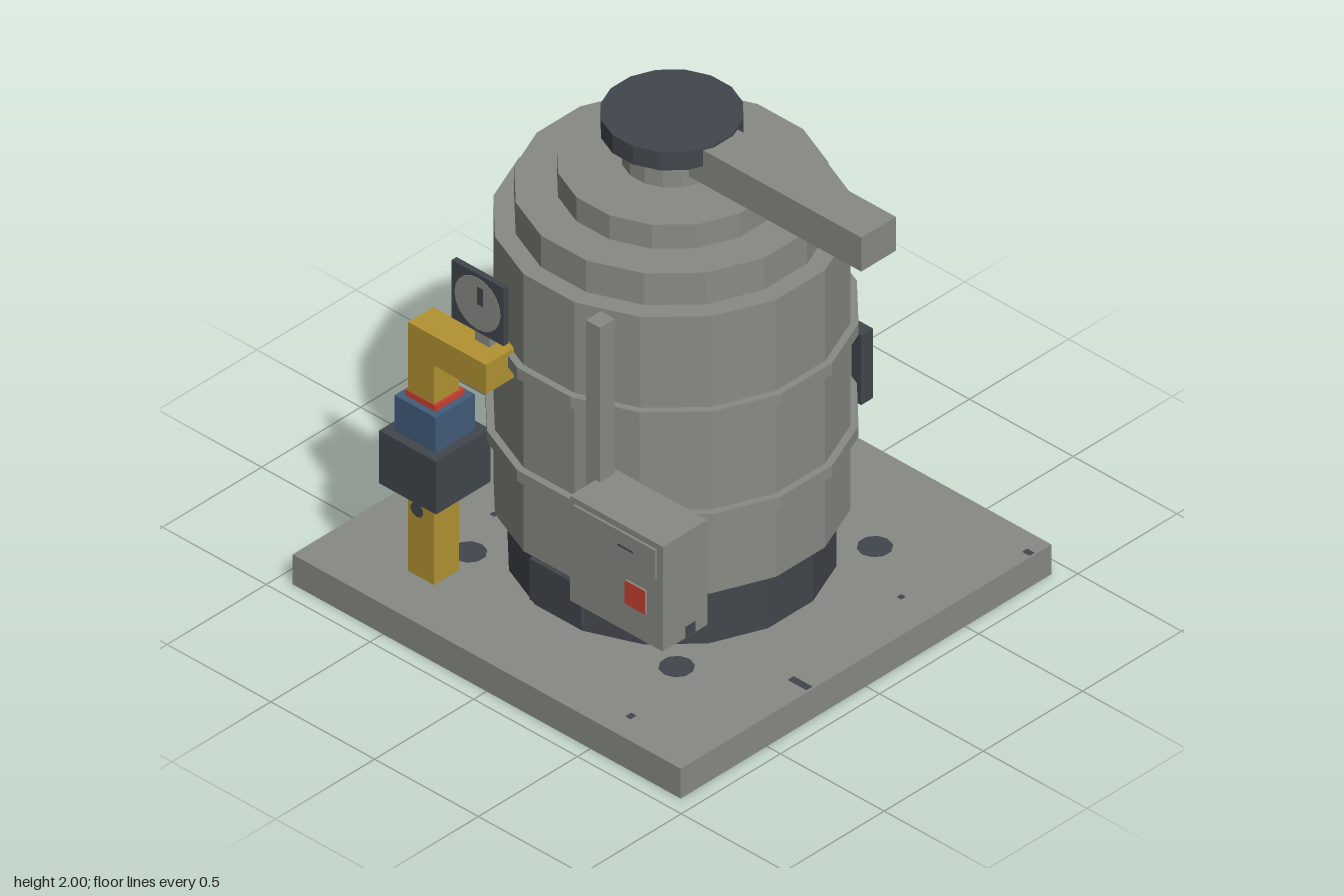
import * as THREE from 'three';

function material(name, color) {
  const m = new THREE.MeshStandardMaterial({ color });
  m.name = name;
  return m;
}

export function createModel() {
  const gray = material('paintedGray', 0x888b84);
  gray.side = THREE.DoubleSide; // the base plate is an open shell
  const dark = material('darkSteel', 0x41474d);
  const yellow = material('pipeYellow', 0xb39332);
  const blue = material('valveBlue', 0x435d7b);
  const red = material('signalRed', 0xc94133);

  const model = new THREE.Group();
  model.name = 'pressureVessel';

  const add = (name, geometry, mat, parent = model) => {
    const mesh = new THREE.Mesh(geometry, mat);
    mesh.name = name;
    parent.add(mesh);
    return mesh;
  };
  // box given by its limits on each axis
  const box = (name, mat, [x0, x1], [y0, y1], [z0, z1], parent) => {
    const g = new THREE.BoxGeometry(x1 - x0, y1 - y0, z1 - z0);
    g.translate((x0 + x1) / 2, (y0 + y1) / 2, (z0 + z1) / 2);
    return add(name, g, mat, parent);
  };
  // sixteen-sided drum with flats facing the four axes
  const drum = (name, mat, r, y0, y1, parent) => {
    const g = new THREE.CylinderGeometry(r, r, y1 - y0, 16).toNonIndexed();
    g.rotateY(Math.PI / 16);
    g.translate(0, (y0 + y1) / 2, 0);
    g.computeVertexNormals();
    return add(name, g, mat, parent);
  };
  const group = (name) => {
    const g = new THREE.Group();
    g.name = name;
    model.add(g);
    return g;
  };

  // base plate: a shallow shell, open underneath (the fourth box face is dropped)
  const plateTop = 0.127;
  const plate = box('basePlate', gray, [-0.935, 0.935], [0, plateTop], [-0.935, 0.935]).geometry;
  plate.setIndex(Array.from(plate.index.array).filter((_, i) => i < 18 || i >= 24));
  plate.clearGroups();

  // anchor bolts set flush in the plate, seen from both sides
  for (const x of [-0.5, 0.5]) for (const z of [-0.5, 0.5]) {
    const bolt = new THREE.CylinderGeometry(0.064, 0.064, 0.004, 10);
    bolt.translate(x, plateTop, z);
    add('anchorBolt', bolt, dark);
  }
  // paint chips on the plate
  const chips = [[0.88, 0.275, 0.09, 0.03], [0.91, -0.845, 0.035, 0.025], [0.775, -0.345, 0.022, 0.022],
    [-0.595, 0.275, 0.022, 0.022], [-0.66, -0.78, 0.018, 0.018], [0.59, 0.825, 0.025, 0.03]];
  for (const [x, z, w, d] of chips) {
    box('paintChip', dark, [x - w / 2, x + w / 2], [plateTop, plateTop + 0.001], [z - d / 2, z + d / 2]);
  }

  // stepped vessel
  const vessel = group('vessel');
  drum('skirt', dark, 0.582, plateTop + 0.001, 0.38, vessel);
  drum('body', gray, 0.632, 0.377, 1.56, vessel);
  drum('lowerBand', gray, 0.66, 0.688, 0.735, vessel);
  drum('upperBand', gray, 0.66, 1.125, 1.173, vessel);
  drum('shoulder', gray, 0.558, 1.56, 1.695, vessel);
  drum('upperShoulder', gray, 0.407, 1.695, 1.797, vessel);
  drum('neck', gray, 0.178, 1.797, 1.925, vessel);
  drum('cap', dark, 0.253, 1.922, 2, vessel);
  box('accessPanel', dark, [-0.127, 0.123], [0.153, 0.327], [0.54, 0.587], vessel);

  // ducts
  box('topArm', gray, [0.165, 0.995], [1.845, 1.99], [-0.087, 0.087]);
  box('sideOutlet', gray, [-1, -0.6], [0.427, 0.602], [-0.087, 0.087]);
  box('sideOutletCollar', gray, [-0.675, -0.6], [0.43, 0.625], [-0.09, 0.09]);
  box('sideOutletChip', dark, [-0.852, -0.828], [0.445, 0.475], [0.086, 0.088]);
  box('backOutlet', gray, [-0.1, 0.1], [0.45, 0.655], [-0.81, -0.6]);
  box('backFlange', dark, [-0.147, 0.147], [0.405, 0.702], [-0.86, -0.8]);

  // cable channel and control box
  const control = group('controls');
  box('cableChannel', gray, [0.225, 0.293], [0.443, 1.56], [0.595, 0.67], control);
  box('controlBox', gray, [0.272, 0.72], [0.453, 0.9], [0.575, 0.8], control);
  box('labelPlate', gray, [0.297, 0.692], [0.753, 0.875], [0.8, 0.809], control);
  box('buttonMount', gray, [0.545, 0.643], [0.577, 0.677], [0.8, 0.808], control);
  box('stopButton', red, [0.545, 0.643], [0.577, 0.677], [0.808, 0.809], control);
  box('labelMark', dark, [0.51, 0.585], [0.81, 0.818], [0.809, 0.81], control);
  box('sideChip', dark, [0.719, 0.721], [0.455, 0.5], [0.635, 0.685], control);

  // feed pipe, elbow and valve stack
  const feed = group('feedPipe');
  box('riser', yellow, [-0.575, -0.45], [plateTop + 0.001, 1.19], [0.602, 0.729], feed);
  box('riserFoot', yellow, [-0.575, -0.5], [plateTop - 0.001, plateTop + 0.001], [0.63, 0.69], feed);
  box('elbow', yellow, [-0.45, -0.2], [1.065, 1.19], [0.45, 0.729], feed);
  const stack = (name, mat, half, y0, y1) =>
    box(name, mat, [-0.513 - half, -0.513 + half], [y0, y1], [0.66 - half, 0.66 + half], feed);
  stack('valveBody', dark, 0.137, 0.5, 0.725);
  stack('valveHead', blue, 0.099, 0.725, 0.875);
  stack('valveRing', red, 0.073, 0.875, 0.9);
  const plug = new THREE.CylinderGeometry(0.03, 0.03, 0.004, 10);
  plug.rotateX(Math.PI / 2);
  plug.translate(-0.532, 0.41, 0.729);
  add('drainPlug', plug, dark, feed);

  // pressure gauge on its stem
  const gauge = group('gauge');
  box('gaugeStem', gray, [-0.335, -0.265], [1.185, 1.26], [0.54, 0.644], gauge);
  box('gaugeCase', dark, [-0.425, -0.175], [1.25, 1.497], [0.642, 0.666], gauge);
  const dial = new THREE.CylinderGeometry(0.11, 0.11, 0.002, 20);
  dial.rotateX(Math.PI / 2);
  dial.translate(-0.3, 1.372, 0.667);
  add('gaugeDial', dial, gray, gauge);
  box('gaugeNeedle', dark, [-0.3, -0.272], [1.37, 1.445], [0.667, 0.669], gauge);

  return model;
}
